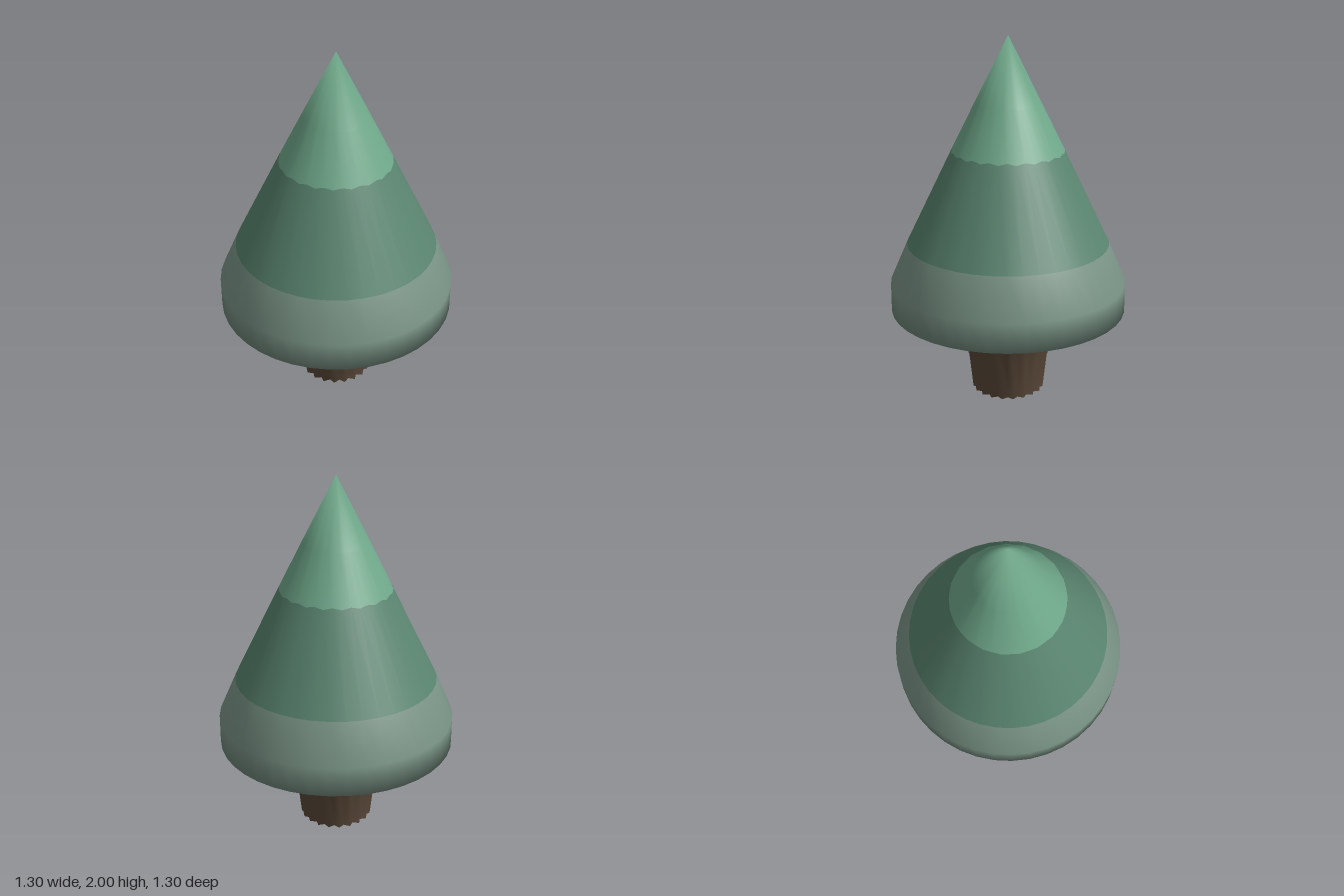
import * as THREE from 'three';
import { mergeVertices } from 'three/addons/utils/BufferGeometryUtils.js';

const SIDES = 40;

// Lathe a profile, move its vertices by a rule, then smooth across the seam
function turned(profile, rule) {
  const lathe = new THREE.LatheGeometry(profile.map(([r, y]) => new THREE.Vector2(r, y)), SIDES);
  const pos = lathe.attributes.position;
  const rows = profile.length;
  for (let i = 0; i < pos.count; i++) {
    const column = Math.floor(i / rows) % SIDES;
    const p = new THREE.Vector3().fromBufferAttribute(pos, i);
    rule(p, i % rows, column % 2 === 1);
    pos.setXYZ(i, p.x, p.y, p.z);
  }
  lathe.deleteAttribute('normal');
  lathe.deleteAttribute('uv');
  const geo = mergeVertices(lathe, 1e-4);
  geo.computeVertexNormals();
  return geo;
}

// Keep the faces whose centre lies between two heights, with shared smooth normals
function slice(geo, low, high) {
  const pos = geo.attributes.position;
  const source = geo.index.array;
  const kept = [];
  for (let i = 0; i < source.length; i += 3) {
    const [a, b, c] = [source[i], source[i + 1], source[i + 2]];
    if (a === b || b === c || a === c) continue;
    const y = (pos.getY(a) + pos.getY(b) + pos.getY(c)) / 3;
    if (y > low && y < high) kept.push(a, b, c);
  }
  const part = geo.clone();
  part.setIndex(kept);
  return part;
}

export function createModel() {
  const group = new THREE.Group();
  group.name = 'tree';
  const add = (name, geometry, color) => {
    const mesh = new THREE.Mesh(geometry, new THREE.MeshStandardMaterial({ color }));
    mesh.name = name;
    group.add(mesh);
  };

  // Foliage: one smooth cone in three colour bands, with a wavy upper border
  const foliage = turned(
    [[0.28, 0.38], [0.65, 0.49], [0.65, 0.65], [0.555, 0.87], [0.305, 1.38], [0.18, 1.64], [0, 2]],
    (p, row, odd) => { if (row === 4) p.y += odd ? 0.008 : -0.004; }
  );
  add('lowerFoliage', slice(foliage, 0, 0.87), 0x7a9486);
  add('middleFoliage', slice(foliage, 0.87, 1.39), 0x5a8570);
  add('topFoliage', slice(foliage, 1.39, 2), 0x6fa88a);

  // Trunk: flared at the top, fluted towards the foot
  const flute = (p, odd) => { if (odd) { p.x *= 0.87; p.z *= 0.87; } };
  const trunk = turned([[0.2, 0], [0.222, 0.2], [0.285, 0.38]],
    (p, row, odd) => { if (row === 0) flute(p, odd); });
  add('trunk', trunk, 0x5c4a3a);

  // Star-edged underside of the trunk
  const base = turned([[0, 0], [0.2, 0]], (p, row, odd) => flute(p, odd));
  add('trunkBase', base, 0x7a9486);

  return group;
}
